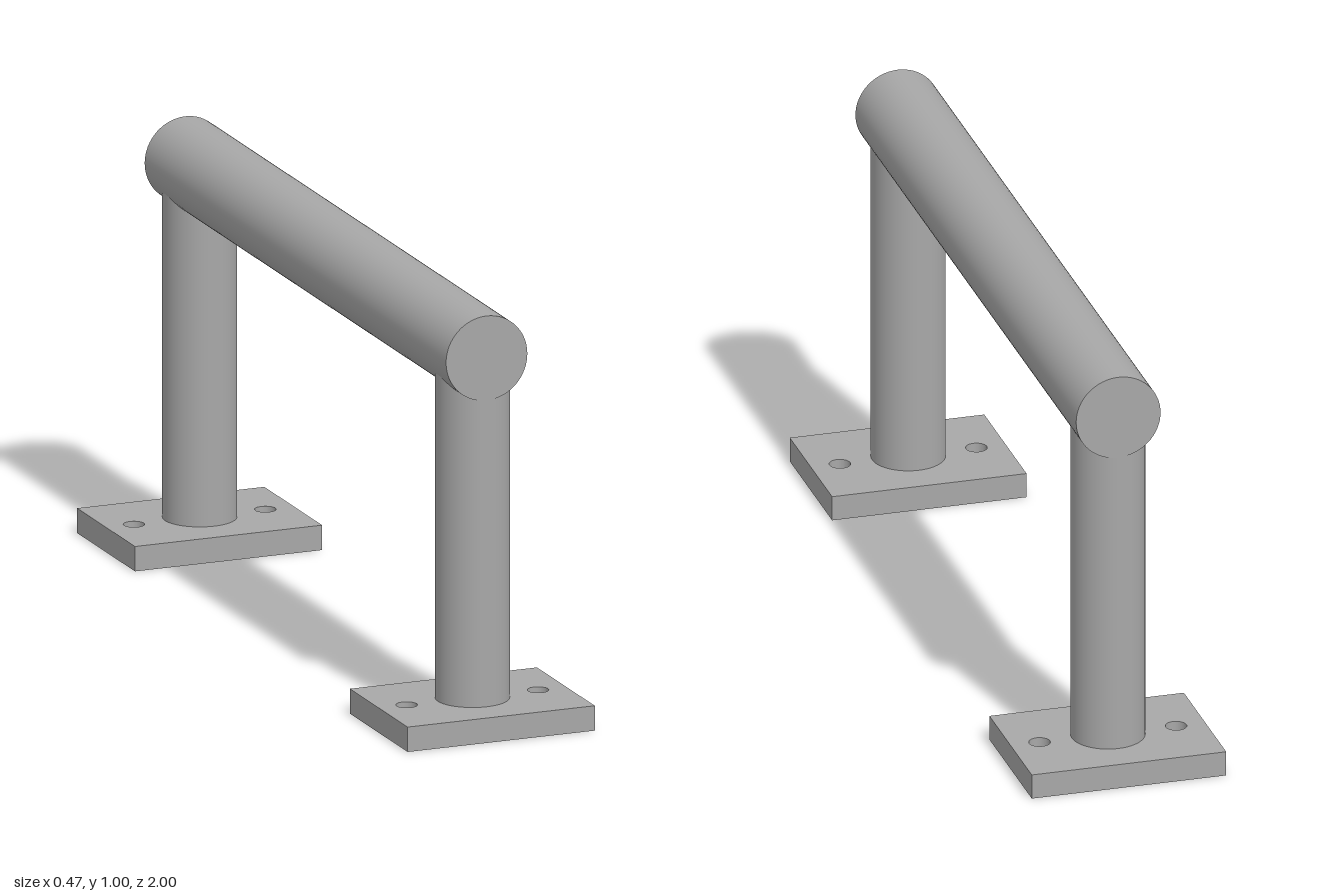
import * as THREE from 'three';

const BAR_RADIUS = 0.102, BAR_Y = 0.901, BAR_LENGTH = 1.824;
const POST_RADIUS = 0.087, POST_Z = 0.825, POST_TOP = 0.87;
const PLATE_X = 0.235, PLATE_Z = 0.175, PLATE_HEIGHT = 0.06;
const HOLE_X = 0.165, HOLE_RADIUS = 0.025;

// Flat rectangular plate with two through holes, standing on y = 0
function plateGeometry() {
  const shape = new THREE.Shape();
  shape.moveTo(-PLATE_X, -PLATE_Z);
  shape.lineTo(PLATE_X, -PLATE_Z);
  shape.lineTo(PLATE_X, PLATE_Z);
  shape.lineTo(-PLATE_X, PLATE_Z);
  shape.closePath();
  for (const side of [-1, 1]) {
    const hole = new THREE.Path();
    hole.absarc(side * HOLE_X, 0, HOLE_RADIUS, 0, Math.PI * 2, true);
    shape.holes.push(hole);
  }
  const geometry = new THREE.ExtrudeGeometry(shape, {
    depth: PLATE_HEIGHT, bevelEnabled: false, curveSegments: 24,
  });
  return geometry.rotateX(-Math.PI / 2);
}

export function createModel() {
  const model = new THREE.Group();
  model.name = 'grabHandle';
  const steel = new THREE.MeshStandardMaterial({ color: 0xa8a8a8 });
  steel.name = 'grey steel';

  const add = (name, geometry, y, z) => {
    const mesh = new THREE.Mesh(geometry, steel);
    mesh.name = name;
    mesh.position.set(0, y, z);
    model.add(mesh);
  };

  // Horizontal grip bar
  const bar = new THREE.CylinderGeometry(BAR_RADIUS, BAR_RADIUS, BAR_LENGTH, 64);
  add('gripBar', bar.rotateX(Math.PI / 2), BAR_Y, 0);

  // Posts run from the plates into the underside of the bar
  const postHeight = POST_TOP - PLATE_HEIGHT;
  const post = new THREE.CylinderGeometry(POST_RADIUS, POST_RADIUS, postHeight, 64, 1, true);
  const plate = plateGeometry();
  for (const [label, side] of [['front', 1], ['back', -1]]) {
    add(label + 'Post', post, PLATE_HEIGHT + postHeight / 2, side * POST_Z);
    add(label + 'MountingPlate', plate, 0, side * POST_Z);
  }
  return model;
}
